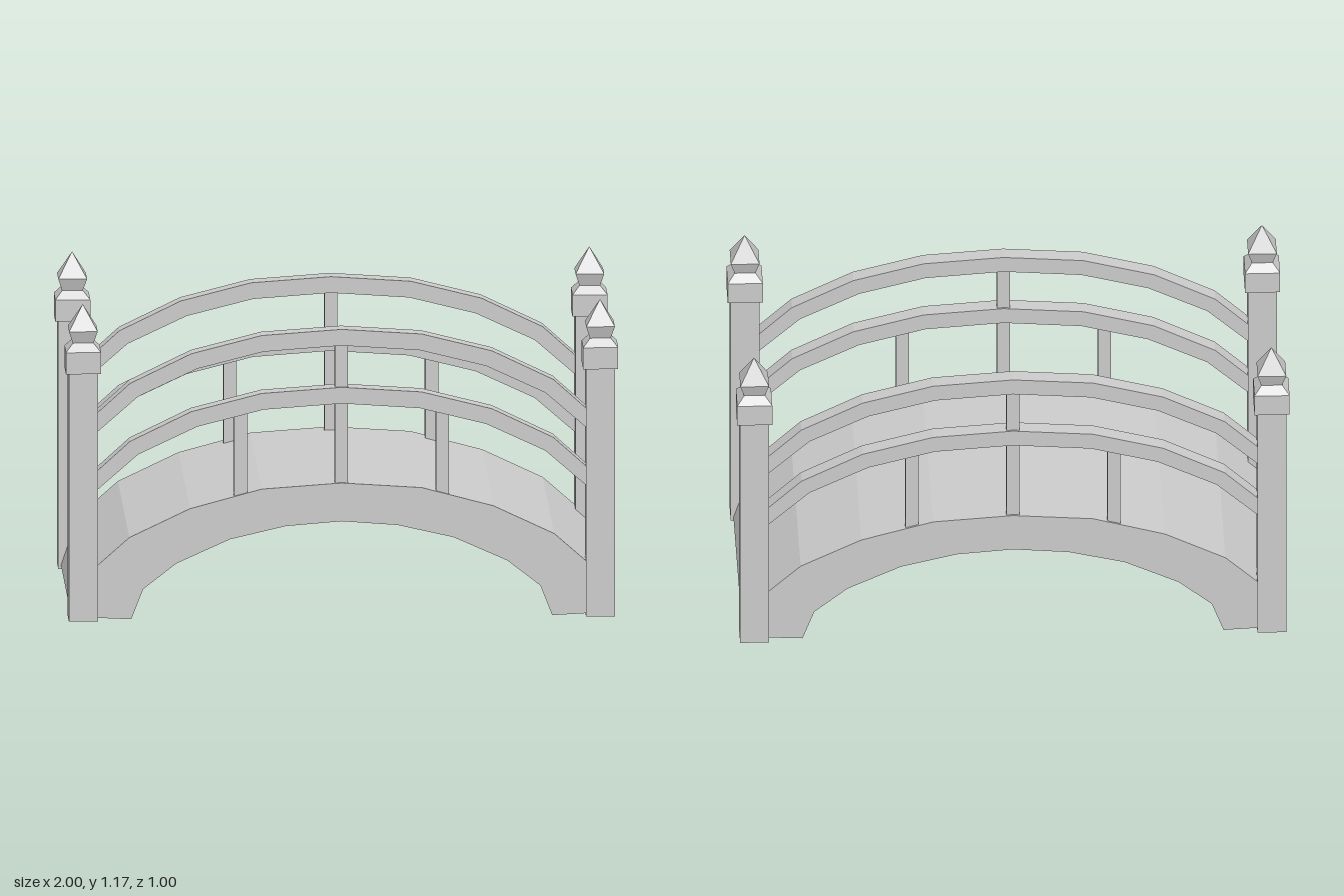
import * as THREE from 'three';

const material = new THREE.MeshStandardMaterial({ color: 0xcccccc, flatShading: true });
const POST_X = 0.9375, SIDE_Z = 0.4375;

function part(name, geometry, x = 0, y = 0, z = 0) {
  const mesh = new THREE.Mesh(geometry, material);
  mesh.name = name;
  mesh.position.set(x, y, z);
  return mesh;
}

// Mirrors the right half of an arch (centre to end) into a full left-to-right line.
const mirrored = half => [...half.slice(1).reverse().map(([x, y]) => [-x, y]), ...half];

// Solid between an upper and a lower arch line, centred on z = 0.
function archGeometry(upper, lower, depth) {
  const outline = [...mirrored(lower), ...mirrored(upper).reverse()];
  const shape = new THREE.Shape(outline.map(([x, y]) => new THREE.Vector2(x, y)));
  return new THREE.ExtrudeGeometry(shape, { depth, bevelEnabled: false }).translate(0, 0, -depth / 2);
}

// Square turned solid from [half width, height] pairs, bottom to top.
function squareTurned(profile) {
  const points = profile.map(([w, y]) => new THREE.Vector2(w * Math.SQRT2, y));
  const geometry = new THREE.LatheGeometry(points, 4, Math.PI / 4).toNonIndexed();
  geometry.computeVertexNormals();
  return geometry;
}

export function createModel() {
  const model = new THREE.Group();
  model.name = 'archedBridge';

  // Thick arched deck
  model.add(part('deck', archGeometry(
    [[0, 0.5], [0.29, 0.48], [0.55, 0.41], [0.77, 0.305], [0.93, 0.163], [0.98, 0.013]],
    [[0, 0.358], [0.203, 0.342], [0.405, 0.295], [0.6, 0.207], [0.72, 0.113], [0.763, 0.002]],
    0.938)));

  const railGeometry = archGeometry(
    [[0, 1.07], [0.29, 1.05], [0.545, 0.985], [0.767, 0.877], [0.92, 0.738]],
    [[0, 1.01], [0.283, 0.99], [0.524, 0.929], [0.738, 0.828], [0.92, 0.668]],
    0.063);
  const postGeometry = squareTurned([[0, 0], [0.0525, 0], [0.0525, 0.93], [0, 0.93]]);
  const capGeometry = squareTurned([[0, 0.92], [0.0635, 0.92], [0.0635, 1], [0.037, 1.03], [0, 1.03]]);
  const finialGeometry = squareTurned([[0, 1.028], [0.037, 1.028], [0.052, 1.075], [0, 1.166]]);
  const tallBaluster = new THREE.BoxGeometry(0.048, 0.55, 0.048);
  const shortBaluster = new THREE.BoxGeometry(0.048, 0.35, 0.048);

  for (const side of [-1, 1]) {
    const z = side * SIDE_Z;

    // Two parallel handrails and their balusters
    model.add(part('upperRail', railGeometry, 0, 0, z));
    model.add(part('lowerRail', railGeometry, 0, -0.215, z));
    model.add(part('centreBaluster', tallBaluster, 0, 0.755, z));

    for (const end of [-1, 1]) {
      model.add(part('sideBaluster', shortBaluster, end * 0.366, 0.6, z));

      // Corner post with stepped cap and pointed finial
      const post = new THREE.Group();
      post.name = 'cornerPost';
      post.position.set(end * POST_X, 0, z);
      post.add(part('shaft', postGeometry), part('cap', capGeometry), part('finial', finialGeometry));
      model.add(post);
    }
  }
  return model;
}
